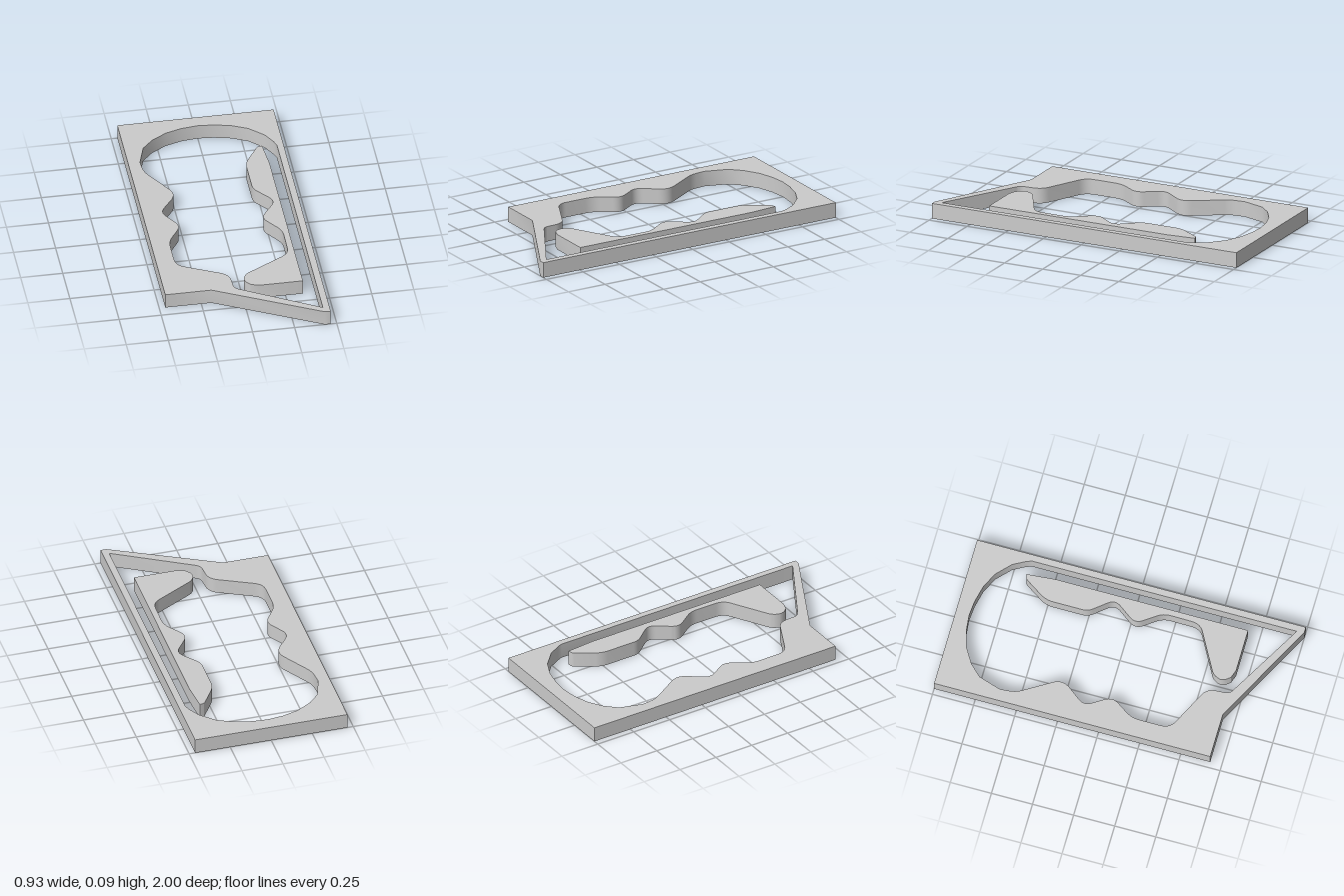
import * as THREE from 'three';
import { toCreasedNormals } from 'three/addons/utils/BufferGeometryUtils.js';

const THICKNESS = 0.093;

// Closed outline from plan corners [x, z, r]; r is the length trimmed off each side of a rounded corner.
function outline(corners, path) {
  const pts = corners.map(([x, z]) => new THREE.Vector2(x, -z));
  const n = pts.length;
  const toward = (a, b, d) => a.clone().add(b.clone().sub(a).setLength(d));
  pts.forEach((p, i) => {
    const r = corners[i][2] || 0;
    const start = r ? toward(p, pts[(i + n - 1) % n], r) : p;
    if (i === 0) path.moveTo(start.x, start.y);
    else path.lineTo(start.x, start.y);
    if (r) {
      const end = toward(p, pts[(i + 1) % n], r);
      path.quadraticCurveTo(p.x, p.y, end.x, end.y);
    }
  });
  path.closePath();
  return path;
}

// Flat plate standing on y = 0
function plate(name, shape) {
  const geo = new THREE.ExtrudeGeometry(shape, { depth: THICKNESS, bevelEnabled: false, curveSegments: 8 });
  geo.rotateX(-Math.PI / 2);
  const mesh = new THREE.Mesh(
    toCreasedNormals(geo, Math.PI / 6),
    new THREE.MeshStandardMaterial({ color: 0xcccccc })
  );
  mesh.name = name;
  return mesh;
}

export function createModel() {
  const group = new THREE.Group();
  group.name = 'cutoutPlate';

  // Frame: rectangle with a slanted, thin-walled corner (counterclockwise, so the opening's walls face inward)
  const frame = outline([
    [-0.464, 0.68], [-0.19, 0.68], [0.43, 1], [0.464, 1], [0.464, -1], [-0.464, -1],
  ], new THREE.Shape());

  // Opening: straight right wall, diagonal, wavy left wall, arched top
  frame.holes.push(outline([
    [0.425, -0.655], [0.425, 0.955],
    [-0.055, 0.682, 0.03], [-0.062, 0.547, 0.055],
    [-0.356, 0.403, 0.055], [-0.356, 0.17, 0.05],
    [-0.262, 0.03, 0.05], [-0.358, -0.12, 0.05],
    [-0.235, -0.28, 0.065], [-0.386, -0.525, 0.04],
    [-0.394, -0.62], [-0.352, -0.755], [-0.288, -0.822], [-0.198, -0.877],
    [-0.1, -0.907], [0, -0.918], [0.092, -0.91], [0.192, -0.887],
    [0.287, -0.842], [0.372, -0.762], [0.412, -0.69],
  ], new THREE.Path()));
  group.add(plate('frame', frame));

  // Loose insert: straight right side, wavy left side
  group.add(plate('insert', outline([
    [0.353, 0.68], [0.353, -0.49], [0.338, -0.663], [0.308, -0.657, 0.012],
    [0.214, -0.512, 0.045], [0.214, -0.256, 0.035],
    [0.325, -0.12, 0.05], [0.215, 0.03, 0.05],
    [0.319, 0.175, 0.045], [0.316, 0.4, 0.05],
    [0.024, 0.563, 0.04], [0.015, 0.608], [0.023, 0.636], [0.045, 0.663], [0.093, 0.68],
  ], new THREE.Shape())));

  return group;
}
